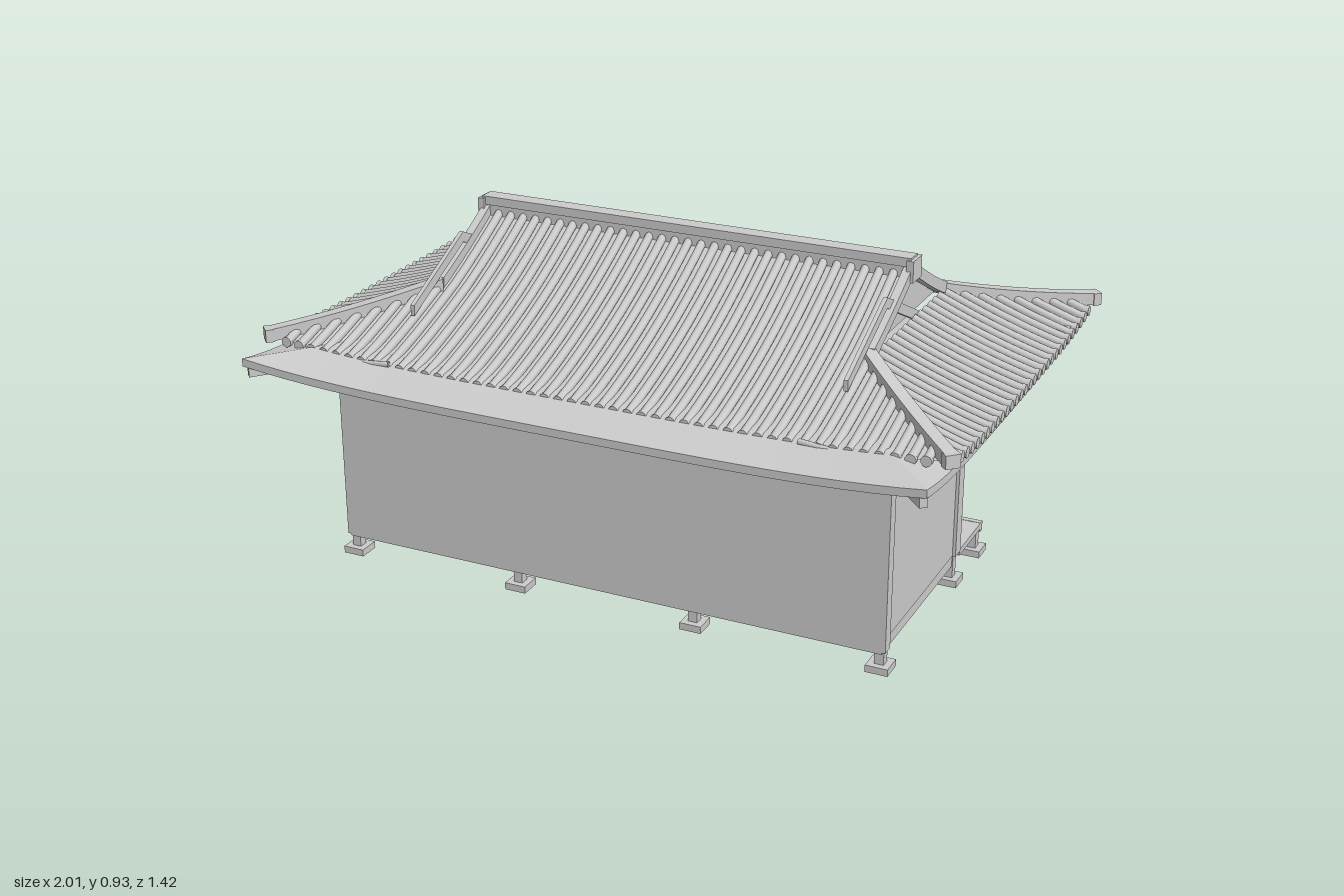
import * as THREE from 'three';

const mat = new THREE.MeshStandardMaterial({ color: 0xcccccc, side: THREE.DoubleSide });
const V = (x, y, z) => new THREE.Vector3(x, y, z);

function add(parent, name, geo, x = 0, y = 0, z = 0) {
  const m = new THREE.Mesh(geo, mat);
  m.name = name;
  m.position.set(x, y, z);
  parent.add(m);
  return m;
}

// box given by its limits on each axis
const block = (p, name, x0, x1, y0, y1, z0, z1) =>
  add(p, name, new THREE.BoxGeometry(x1 - x0, y1 - y0, z1 - z0), (x0 + x1) / 2, (y0 + y1) / 2, (z0 + z1) / 2);

// surface from a rule P(u, v), with u and v in 0..1
function sheet(p, name, nu, nv, P) {
  const g = new THREE.PlaneGeometry(1, 1, nu, nv), a = g.attributes.position;
  for (let i = 0; i < a.count; i++) {
    const q = P(a.getX(i) + 0.5, 0.5 - a.getY(i));
    a.setXYZ(i, q.x, q.y, q.z);
  }
  g.computeVertexNormals();
  return add(p, name, g);
}

// rectangular bar following a path rule P(t)
function bar(p, name, P, w, h, n = 8) {
  const g = new THREE.BoxGeometry(1, 1, 1, 1, 1, n), a = g.attributes.position;
  const d = P(1).sub(P(0));
  const side = V(d.z, 0, -d.x).normalize();
  for (let i = 0; i < a.count; i++) {
    const q = P(a.getZ(i) + 0.5).addScaledVector(side, a.getX(i) * w);
    a.setXYZ(i, q.x, q.y + a.getY(i) * h, q.z);
  }
  g.computeVertexNormals();
  return add(p, name, g);
}

class RuleCurve extends THREE.Curve {
  constructor(rule) { super(); this.rule = rule; }
  getPoint(t) { return this.rule(t); }
}

// four curved roof faces; a runs along the eave, m is the distance in from it
function roofFaces(hw, hd, cz, height, minX) {
  return [[0, 1], [0, -1], [1, 1], [1, -1]].map(([end, s]) => {
    const half = m => Math.max(end ? hd - m : hw - m, end ? 0 : minX);
    const at = (a, m) => {
      const k = Math.min(1, Math.abs(a) / Math.max(half(m), 0.01));
      const y = height(m) + 0.03 * k ** 4 * Math.max(0, 1 - m / 0.34);
      return end ? V(s * (hw - m), y, cz + a) : V(a, y, cz + s * (hd - m));
    };
    return { end, s, half, at };
  });
}

function tiledRoof(root) {
  const g = new THREE.Group();
  g.name = 'tiledRoof';
  root.add(g);
  const hw = 0.97, hd = 0.62, cz = -0.07, gx = 0.64;
  const height = m => 0.62 + 0.26 * m + 0.27 * m * m;
  const faces = roofFaces(hw, hd, cz, height, gx);
  for (const f of faces) {
    const top = f.end ? hw - gx : hd;
    sheet(g, 'tileBed', 32, 16, (u, v) => f.at((2 * u - 1) * f.half(v * top), v * top));
    // rounded tile rows with a round head at the eave
    const n = f.end ? 15 : 24, reach = f.half(0);
    for (let i = -n; i <= n; i++) {
      const a = i * 0.04;
      const end = !f.end && Math.abs(a) < gx ? hd : Math.min(top, reach - Math.abs(a));
      if (end < 0.03) continue;
      const path = new RuleCurve(t => f.at(a, -0.01 + t * (end + 0.01)).add(V(0, 0.006, 0)));
      add(g, 'tileRow', new THREE.TubeGeometry(path, 9, 0.0125, 8, false));
      const p = path.getPoint(0);
      const head = add(g, 'tileHead', new THREE.CylinderGeometry(0.015, 0.015, 0.012, 10), p.x, p.y, p.z);
      if (f.end) head.rotation.z = Math.PI / 2;
      else head.rotation.x = Math.PI / 2;
    }
  }
  for (const sx of [1, -1]) {
    for (const f of faces.slice(0, 2)) {
      // hip ridge and its upturned cap
      const hip = t => {
        const m = 0.335 - t * 0.345;
        return f.at(sx * (hw - m), m).add(V(0, 0.012, 0));
      };
      bar(g, 'hipRidge', hip, 0.035, 0.035);
      const c = hip(1);
      const cap = block(g, 'hipCap', -0.02, 0.02, -0.016, 0.02, -0.012, 0.012);
      cap.position.copy(c);
      cap.rotation.y = sx * f.s * Math.PI / 4;
      // ridge running down the gable edge
      bar(g, 'gableRidge', t => f.at(sx * 0.64, 0.335 + t * 0.285).add(V(0, 0.012, 0)), 0.024, 0.035);
    }
    // gable wall
    const tri = new THREE.Shape([[-0.35, 0.735], [0.21, 0.735], [-0.07, 0.88]].map(p => new THREE.Vector2(...p)));
    add(g, 'gableWall', new THREE.ShapeGeometry(tri).rotateY(-Math.PI / 2), sx * 0.615);
    // bargeboard
    const board = new THREE.Shape([[0.37, 0.735], [0.1, 0.868], [-0.17, 0.74], [-0.17, 0.71], [0.1, 0.838], [0.37, 0.705]]
      .map(p => new THREE.Vector2(...p)));
    add(g, 'bargeboard', new THREE.ExtrudeGeometry(board, { depth: 0.012, bevelEnabled: false })
      .rotateY(-Math.PI / 2), sx * 0.635 + 0.006);
    block(g, 'ridgeEnd', sx * 0.65 - 0.01, sx * 0.65 + 0.01, 0.865, 0.925, -0.103, -0.037);
  }
  // main ridge
  block(g, 'mainRidge', -0.645, 0.645, 0.865, 0.918, -0.09, -0.05);
  block(g, 'ridgeCap', -0.65, 0.65, 0.905, 0.93, -0.095, -0.045);
}

function eaveRoof(root) {
  const g = new THREE.Group();
  g.name = 'eaveRoof';
  root.add(g);
  const hw = 0.97, hd = 0.6, cz = 0.1;
  const faces = roofFaces(hw, hd, cz, m => 0.609 + 0.15 * m, 0);
  for (const f of faces) {
    for (const drop of [0, 0.022])
      sheet(g, drop ? 'eaveSoffit' : 'eaveBoard', 28, 8,
        (u, v) => f.at((2 * u - 1) * f.half(v * hd), v * hd).add(V(0, -drop, 0)));
    sheet(g, 'eaveEdge', 28, 1, (u, v) => f.at((2 * u - 1) * f.half(0), 0).add(V(0, -0.022 * v, 0)));
    // rafters
    const n = f.end ? 6 : 8, step = f.end ? 0.085 : 0.115;
    for (let i = -n; i < n; i++) {
      const a = (i + 0.5) * step;
      const path = new RuleCurve(t => f.at(a, 0.02 + t * 0.36).add(V(0, -0.027, 0)));
      add(g, 'rafter', new THREE.TubeGeometry(path, 4, 0.008, 6, false));
    }
  }
  // corner rafters
  for (const sx of [1, -1]) for (const f of faces.slice(0, 2))
    bar(g, 'cornerRafter', t => f.at(sx * (hw - 0.01 - t * 0.25), 0.01 + t * 0.25).add(V(0, -0.038, 0)), 0.022, 0.03);
}

function house(root) {
  const g = new THREE.Group();
  g.name = 'house';
  root.add(g);
  block(g, 'floor', -0.8, 0.8, 0.055, 0.092, -0.09, 0.49);
  block(g, 'backWall', -0.81, 0.81, 0.06, 0.61, 0.455, 0.49);
  block(g, 'porchWall', -0.79, 0.79, 0.09, 0.61, -0.055, -0.04);
  for (const s of [1, -1]) {
    block(g, 'sideWall', s * 0.795 - 0.008, s * 0.795 + 0.008, 0.09, 0.61, -0.05, 0.47);
    block(g, 'cornerPost', s * 0.79 - 0.02, s * 0.79 + 0.02, 0.09, 0.61, 0.455, 0.489);
  }

  // porch, stepping stones, feet
  block(g, 'porch', -0.81, 0.81, 0.075, 0.093, -0.285, -0.09);
  block(g, 'porchEdge', -0.81, 0.81, 0.066, 0.094, -0.292, -0.275);
  block(g, 'upperStep', -0.12, 0.12, 0, 0.058, -0.36, -0.3);
  block(g, 'lowerStep', -0.12, 0.12, 0, 0.029, -0.415, -0.36);
  for (const x of [-0.79, -0.265, 0.265, 0.79]) {
    for (const z of [0.467, -0.07, -0.272]) {
      block(g, 'footStone', x - 0.031, x + 0.031, 0, 0.02, z - 0.031, z + 0.031);
      block(g, 'footPost', x - 0.013, x + 0.013, 0.02, 0.085, z - 0.013, z + 0.013);
    }
    block(g, 'porchPost', x - 0.022, x + 0.022, 0.09, 0.61, -0.092, -0.05);
  }
  block(g, 'headBeam', -0.8, 0.8, 0.55, 0.6, -0.085, -0.05);
  block(g, 'lintel', -0.79, 0.79, 0.455, 0.48, -0.08, -0.05);
  block(g, 'sill', -0.79, 0.79, 0.09, 0.112, -0.08, -0.05);

  // lattice doors, four leaves in each bay
  const leaf = 0.121;
  for (const bay of [-0.527, 0, 0.527]) for (let i = 0; i < 4; i++) {
    const x0 = bay + (i - 2) * leaf, x1 = x0 + leaf;
    for (const x of [x0 + 0.006, x1 - 0.006]) block(g, 'doorStile', x - 0.005, x + 0.005, 0.11, 0.456, -0.071, -0.054);
    for (const y of [0.117, 0.19, 0.449]) block(g, 'doorRail', x0, x1, y - 0.006, y + 0.006, -0.07, -0.054);
    for (let k = 1; k < 4; k++) {
      const x = x0 + k * leaf / 4;
      block(g, 'latticeBar', x - 0.002, x + 0.002, 0.19, 0.45, -0.064, -0.054);
    }
    for (let k = 1; k < 9; k++) {
      const y = 0.19 + k * 0.029;
      block(g, 'latticeBar', x0, x1, y - 0.002, y + 0.002, -0.064, -0.054);
    }
  }

  // hanging lanterns
  const prof = [[0.012, 0], [0.014, 0.008], [0.024, 0.025], [0.028, 0.047], [0.024, 0.069], [0.014, 0.086], [0.012, 0.094]]
    .map(p => new THREE.Vector2(...p));
  for (const x of [-0.245, 0.245]) {
    add(g, 'lantern', new THREE.LatheGeometry(prof, 14), x, 0.496, -0.263);
    for (const y of [0.498, 0.588]) add(g, 'lanternCap', new THREE.CylinderGeometry(0.014, 0.014, 0.006, 12), x, y, -0.263);
    add(g, 'lanternCord', new THREE.CylinderGeometry(0.002, 0.002, 0.05, 6), x, 0.612, -0.263);
  }
}

export function createModel() {
  const root = new THREE.Group();
  root.name = 'tiledRoofHouse';
  house(root);
  eaveRoof(root);
  tiledRoof(root);
  return root;
}
